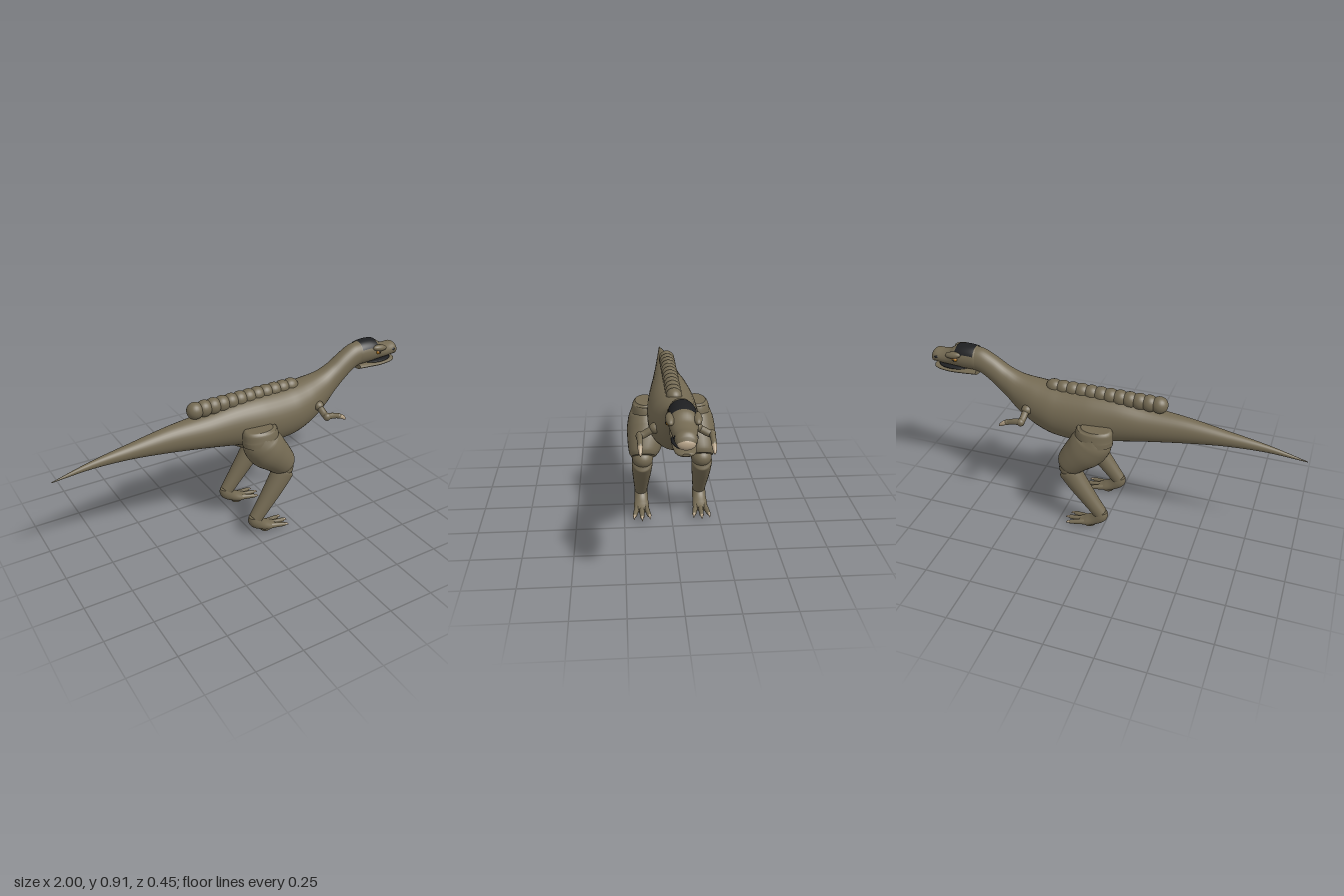
import * as THREE from 'three';

const mat = (name, color, extra = {}) => {
  const m = new THREE.MeshStandardMaterial({ color, ...extra });
  m.name = name;
  return m;
};

// Smooth skin through elliptical sections [x, y, z, radius in the xy plane, radius along z].
// upright: sections stay vertical instead of following the path.
function loft(sections, { upright = false, steps = 5, sides = 28, t0 = 0, t1 = 1, a0 = 0, a1 = Math.PI * 2, grow = 0 } = {}) {
  const path = new THREE.CatmullRomCurve3(sections.map(s => new THREE.Vector3(s[0], s[1], s[2])));
  const radii = new THREE.CatmullRomCurve3(sections.map(s => new THREE.Vector3(s[3], s[4], 0)));
  const rows = (sections.length - 1) * steps;
  const closed = a1 - a0 > 6.28;
  const cols = closed ? sides : sides + 1;
  const pos = [], index = [];
  for (let i = 0; i <= rows; i++) {
    const t = t0 + (t1 - t0) * i / rows;
    const c = path.getPoint(t), r = radii.getPoint(t), d = path.getTangent(t);
    const len = Math.hypot(d.x, d.y) || 1;
    const nx = upright ? 0 : -d.y / len, ny = upright ? 1 : d.x / len;
    const ra = Math.max(r.x, 0.001) + grow, rz = Math.max(r.y, 0.001) + grow;
    for (let j = 0; j < cols; j++) {
      const a = a0 + (a1 - a0) * j / sides, k = Math.cos(a) * ra;
      pos.push(c.x + nx * k, c.y + ny * k, c.z + Math.sin(a) * rz);
    }
  }
  for (let i = 0; i < rows; i++) {
    for (let j = 0; j < sides; j++) {
      const k = closed ? (j + 1) % sides : j + 1;
      const a = i * cols + j, b = i * cols + k, c = b + cols, d = a + cols;
      index.push(a, b, c, a, c, d);
    }
  }
  if (closed) { // end caps with their own vertices, so the rims stay crisp
    for (const end of [0, rows]) {
      const base = pos.length / 3, p = path.getPoint(end ? t1 : t0);
      for (let j = 0; j < cols; j++) pos.push(...pos.slice((end * cols + j) * 3, (end * cols + j) * 3 + 3));
      pos.push(p.x, p.y, p.z);
      for (let j = 0; j < cols; j++) {
        const k = (j + 1) % cols;
        index.push(base + cols, base + (end ? j : k), base + (end ? k : j));
      }
    }
  }
  const g = new THREE.BufferGeometry();
  g.setAttribute('position', new THREE.Float32BufferAttribute(pos, 3));
  g.setIndex(index);
  g.computeVertexNormals();
  return g;
}

// Vertical section given by its top, bottom and half width
const slab = ([x, top, bottom, w]) => [x, (top + bottom) / 2, 0, (top - bottom) / 2, w];

export function createModel() {
  const model = new THREE.Group();
  model.name = 'dinosaur';
  const skin = mat('olive skin', 0x736952);
  const dark = mat('black', 0x1e1f21, { side: THREE.DoubleSide });
  const horn = mat('pale horn', 0xb8a58a);
  const amber = mat('amber', 0xa8701c);

  const add = (name, geometry, material, parent = model) => {
    const m = new THREE.Mesh(geometry, material);
    m.name = name;
    parent.add(m);
    return m;
  };
  const ball = (name, material, [x, y, z], [rx, ry, rz], parent) => {
    const m = add(name, new THREE.SphereGeometry(1, 24, 16), material, parent);
    m.position.set(x, y, z);
    m.scale.set(rx, ry, rz);
    return m;
  };

  // Tail, trunk and neck in one skin
  add('body', loft([
    [-1, 0.577, 0.573, 0.002], [-0.8, 0.627, 0.588, 0.017], [-0.6, 0.662, 0.582, 0.036],
    [-0.4, 0.695, 0.558, 0.057], [-0.2, 0.716, 0.528, 0.082], [-0.05, 0.742, 0.5, 0.102],
    [0.1, 0.753, 0.473, 0.12], [0.2, 0.753, 0.463, 0.125], [0.3, 0.757, 0.473, 0.124],
    [0.4, 0.766, 0.508, 0.108], [0.5, 0.784, 0.57, 0.079], [0.57, 0.816, 0.64, 0.062],
    [0.64, 0.862, 0.705, 0.056], [0.7, 0.893, 0.752, 0.055], [0.75, 0.9, 0.775, 0.056],
  ].map(slab), { upright: true, sides: 36 }), skin);

  // Beaded ridge along the back
  const ridge = new THREE.Group();
  ridge.name = 'backRidge';
  model.add(ridge);
  for (let i = 0; i < 12; i++) {
    const f = i / 11;
    ball('ridgeBead', skin, [-0.25 + 0.56 * f, 0.748 + 0.002 * f, 0], [0.044, 0.044 - 0.006 * f, 0.042 - 0.003 * f], ridge);
  }

  // Head
  const head = new THREE.Group();
  head.name = 'head';
  model.add(head);
  const skull = [
    [0.7, 0.875, 0.77, 0.045], [0.74, 0.9, 0.77, 0.058], [0.8, 0.904, 0.773, 0.063],
    [0.85, 0.895, 0.778, 0.062], [0.89, 0.868, 0.781, 0.055], [0.93, 0.858, 0.782, 0.05],
    [0.97, 0.859, 0.784, 0.046], [0.988, 0.846, 0.79, 0.038], [0.997, 0.825, 0.802, 0.02],
  ].map(slab);
  add('skull', loft(skull, { upright: true }), skin, head);
  add('crownPatch', loft(skull, { upright: true, t0: 0.125, t1: 0.355, a0: -1.08, a1: 1.08, grow: 0.003 }), dark, head);
  add('lowerJaw', loft([
    [0.735, 0.785, 0.75, 0.05], [0.8, 0.778, 0.748, 0.053], [0.88, 0.772, 0.742, 0.05],
    [0.95, 0.772, 0.745, 0.043], [0.978, 0.773, 0.751, 0.032], [0.988, 0.77, 0.758, 0.016],
  ].map(slab), { upright: true }), skin, head);
  ball('mouthGap', dark, [0.875, 0.777, 0], [0.09, 0.01, 0.054], head);
  ball('beakTip', horn, [0.983, 0.81, 0], [0.018, 0.026, 0.039], head);
  for (const s of [1, -1]) {
    ball('brow', skin, [0.85, 0.862, s * 0.056], [0.046, 0.018, 0.019], head).rotation.z = -0.15;
    ball('eye', amber, [0.84, 0.842, s * 0.06], [0.016, 0.012, 0.013], head);
    ball('pupil', dark, [0.842, 0.842, s * 0.07], [0.005, 0.009, 0.005], head);
    ball('nostril', dark, [0.958, 0.826, s * 0.043], [0.013, 0.009, 0.006], head);
  }

  for (const s of [1, -1]) {
    // Legs
    const leg = new THREE.Group();
    leg.name = s > 0 ? 'leftLeg' : 'rightLeg';
    model.add(leg);
    const limb = (name, rows, material = skin, parent = leg) =>
      add(name, loft(rows.map(([x, y, z, a, b]) => [x, y, z * s, a, b])), material, parent);
    limb('hip', [
      [0.045, 0.628, 0.13, 0.075, 0.05], [0.045, 0.615, 0.132, 0.094, 0.06],
      [0.05, 0.58, 0.134, 0.1, 0.067], [0.05, 0.545, 0.134, 0.098, 0.072]]);
    limb('thigh', [
      [0.04, 0.59, 0.128, 0.06, 0.07], [0.055, 0.545, 0.128, 0.1, 0.088], [0.09, 0.495, 0.127, 0.105, 0.098],
      [0.14, 0.442, 0.132, 0.09, 0.092], [0.18, 0.396, 0.142, 0.074, 0.076], [0.192, 0.38, 0.146, 0.06, 0.062]]);
    ball('knee', skin, [0.182, 0.365, s * 0.15], [0.056, 0.05, 0.053], leg);
    limb('shin', [
      [0.195, 0.362, 0.152, 0.04, 0.04], [0.182, 0.345, 0.152, 0.062, 0.053], [0.14, 0.28, 0.154, 0.056, 0.05],
      [0.07, 0.18, 0.156, 0.045, 0.041], [0.012, 0.1, 0.157, 0.038, 0.034]]);

    // Foot with three clawed toes
    limb('foot', [
      [0.005, 0.115, 0.157, 0.03, 0.03], [0.01, 0.085, 0.157, 0.038, 0.036], [0.045, 0.053, 0.157, 0.031, 0.037],
      [0.085, 0.034, 0.157, 0.025, 0.04], [0.125, 0.026, 0.157, 0.014, 0.036]]);
    ball('solePad', skin, [0.075, 0.02, s * 0.157], [0.035, 0.02, 0.032], leg);
    for (const d of [-1, 0, 1]) {
      const reach = d ? 0 : 0.015;
      limb('toe', [
        [0.08, 0.034, 0.157 + d * 0.02, 0.017, 0.015], [0.13, 0.029, 0.157 + d * 0.03, 0.014, 0.013],
        [0.172 + reach, 0.024, 0.157 + d * 0.038, 0.011, 0.011], [0.18 + reach, 0.023, 0.157 + d * 0.04, 0.006, 0.006]]);
      limb('toeClaw', [
        [0.172 + reach, 0.026, 0.157 + d * 0.039, 0.008, 0.008],
        [0.187 + reach, 0.023, 0.157 + d * 0.041, 0.006, 0.006], [0.198 + reach, 0.014, 0.157 + d * 0.042, 0.001, 0.001]], horn);
    }

    // Arms
    const arm = new THREE.Group();
    arm.name = s > 0 ? 'leftArm' : 'rightArm';
    model.add(arm);
    const upper = new THREE.CatmullRomCurve3([
      [0.43, 0.645, 0.07], [0.432, 0.63, 0.115], [0.434, 0.61, 0.15], [0.437, 0.604, 0.17],
    ].map(([x, y, z]) => new THREE.Vector3(x, y, z * s)));
    add('upperArm', new THREE.TubeGeometry(upper, 12, 0.018, 14), skin, arm);
    ball('shoulder', skin, [0.43, 0.64, s * 0.095], [0.028, 0.026, 0.03], arm);
    ball('elbow', skin, [0.437, 0.604, s * 0.17], [0.021, 0.021, 0.018], arm);
    limb('forearm', [
      [0.435, 0.606, 0.17, 0.018, 0.015], [0.47, 0.602, 0.17, 0.016, 0.014], [0.51, 0.591, 0.17, 0.013, 0.012]], skin, arm);
    ball('wrist', skin, [0.512, 0.59, s * 0.17], [0.016, 0.015, 0.014], arm);
    limb('handClaw', [
      [0.51, 0.591, 0.17, 0.013, 0.013], [0.535, 0.578, 0.17, 0.012, 0.011],
      [0.553, 0.564, 0.17, 0.008, 0.007], [0.56, 0.556, 0.17, 0.002, 0.002]], horn, arm);
  }
  return model;
}
